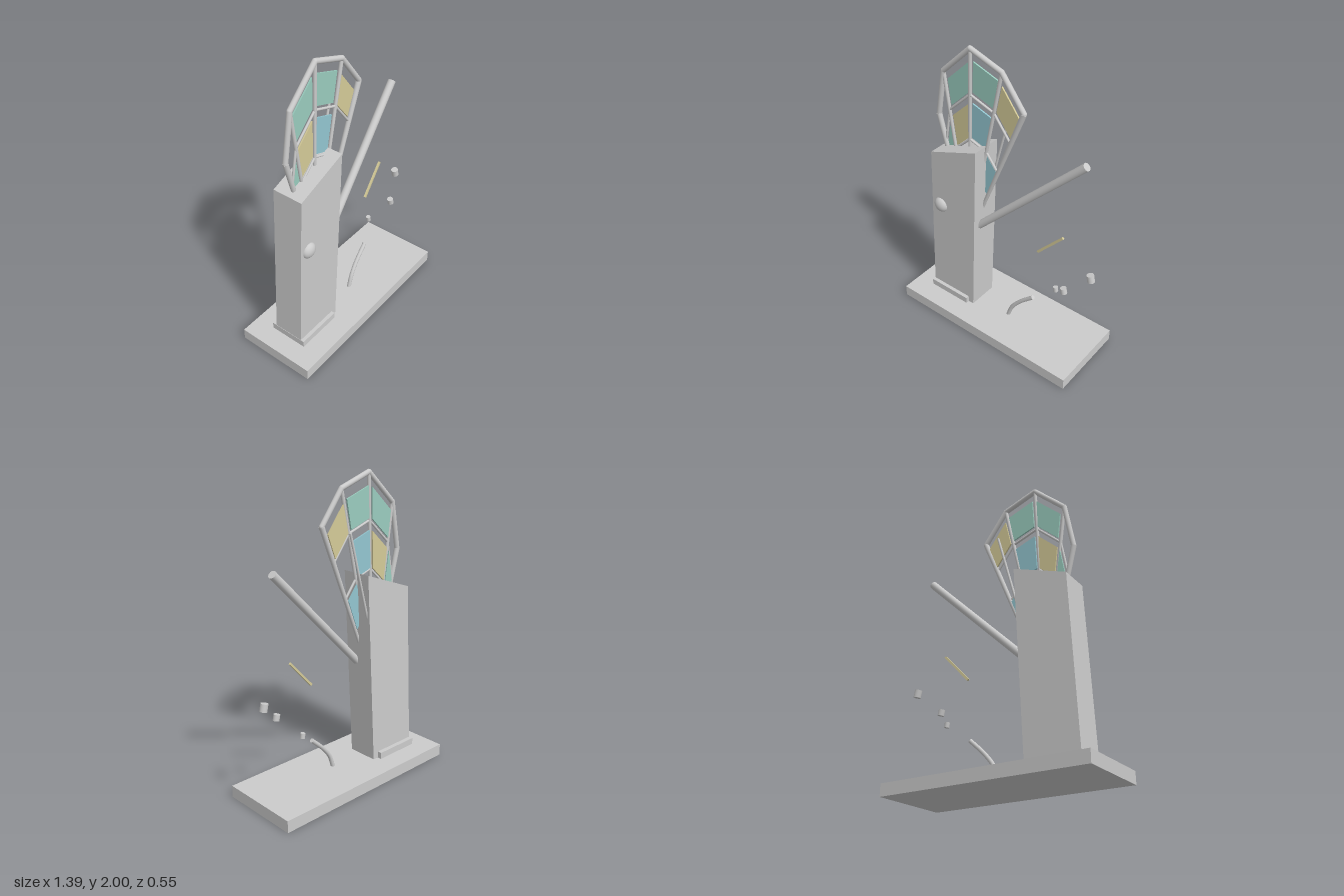
import * as THREE from 'three';

const V = (x, y, z) => new THREE.Vector3(x, y, z);
const material = (color) => new THREE.MeshStandardMaterial({ color });
const grey = material(0xcccccc);
const green = material(0x9accbe);
const yellow = material(0xd4ca98);
const blue = material(0x93c6d0);

export function createModel() {
  const model = new THREE.Group();

  const add = (name, geometry, mat = grey, parent = model) => {
    const mesh = new THREE.Mesh(geometry, mat);
    mesh.name = name;
    parent.add(mesh);
    return mesh;
  };

  // Round bar between two points, radius r0 at a and r1 at b
  const bar = (name, a, b, r0, r1 = r0, parent = model, mat = grey) => {
    const dir = b.clone().sub(a);
    const mesh = add(name, new THREE.CylinderGeometry(r1, r0, dir.length(), 16), mat, parent);
    mesh.position.copy(a).add(b).multiplyScalar(0.5);
    mesh.quaternion.setFromUnitVectors(V(0, 1, 0), dir.normalize());
    return mesh;
  };

  // Ground slab and plinth
  add('base', new THREE.BoxGeometry(1.39, 0.08, 0.55)).position.y = 0.04;
  add('plinth', new THREE.BoxGeometry(0.32, 0.045, 0.265)).position.set(-0.4, 0.1025, -0.002);

  // Leaning tower with a sloped top
  const towerGeometry = new THREE.BoxGeometry(1, 1, 1);
  const p = towerGeometry.attributes.position;
  for (let i = 0; i < p.count; i++) {
    const right = p.getX(i) > 0, top = p.getY(i) > 0, front = p.getZ(i) > 0;
    const x = top ? (right ? -0.135 : -0.505) : (right ? -0.2 : -0.56);
    const y = top ? (right ? 1.37 : 1.235) : 0.08;
    p.setXYZ(i, x, y, (front ? 0.105 : -0.105) + (top ? 0.008 : 0));
  }
  towerGeometry.computeVertexNormals();
  add('tower', towerGeometry);

  // Flattened knob on the front face
  const knob = add('knob', new THREE.SphereGeometry(0.053, 32, 20));
  knob.position.set(-0.45, 0.84, 0.105);
  knob.scale.z = 0.68;

  // Fan: ribs radiating from a hub inside the tower
  const fan = new THREE.Group();
  fan.name = 'fan';
  model.add(fan);
  const fanZ = 0.012;
  const hub = V(-0.29, 0.6, fanZ);
  const tips = [[-0.51, 1.47], [-0.455, 1.78], [-0.24, 1.983], [-0.01, 1.905], [0.15, 1.695]]
    .map(([x, y]) => V(x, y, fanZ));
  const along = (i, f) => hub.clone().lerp(tips[i], f);

  tips.forEach((tip, i) => {
    const edge = i === 0 || i === 4;
    bar('rib', hub, tip, 0.009, edge ? 0.018 : 0.012, fan);
    add('rimJoint', new THREE.SphereGeometry(0.017, 16, 10), grey, fan).position.copy(tip);
    if (i < 4) {
      bar('rim', tip, tips[i + 1], 0.017, 0.017, fan);
      for (const f of [0.56, 0.785]) bar('crossBar', along(i, f), along(i + 1, f), 0.008, 0.008, fan);
    }
  });

  // Coloured panes: sector, inner and outer fraction, colour
  const panes = [
    [1, 0.8, 0.945, green], [2, 0.8, 0.945, green], [3, 0.8, 0.94, yellow],
    [0, 0.57, 0.75, green], [1, 0.57, 0.745, yellow], [2, 0.57, 0.745, blue],
    [3, 0.36, 0.54, blue],
  ];
  for (const [i, f0, f1, mat] of panes) {
    const corner = (f, t) => along(i, f).lerp(along(i + 1, f), t);
    const outline = [corner(f0, 0.08), corner(f0, 0.92), corner(f1, 0.92), corner(f1, 0.08)];
    const shape = new THREE.Shape(outline.map((c) => new THREE.Vector2(c.x, c.y)));
    const geometry = new THREE.ExtrudeGeometry(shape, { depth: 0.01, bevelEnabled: false });
    add('pane', geometry, mat, fan).position.z = -0.003;
  }

  // Thin rod standing behind the fan
  bar('backRod', V(-0.19, 0.96, -0.073), V(-0.003, 1.65, -0.073), 0.008);

  // Long diagonal arm
  bar('arm', V(-0.175, 0.765, 0.043), V(0.56, 1.49, -0.03), 0.026);

  // Curved stalk rising from the base
  const stalkCurve = new THREE.CatmullRomCurve3([
    V(0.053, 0.07, 0.026), V(0.085, 0.16, 0.024), V(0.145, 0.24, 0.018), V(0.25, 0.34, 0.012),
  ]);
  add('stalk', new THREE.TubeGeometry(stalkCurve, 32, 0.014, 12));
  const stalkEnd = stalkCurve.getPoint(1);
  const stalkDir = stalkCurve.getTangent(1);
  bar('stalkCap', stalkEnd.clone().addScaledVector(stalkDir, -0.004), stalkEnd, 0.014);

  // Loose slat
  const slat = add('slat', new THREE.BoxGeometry(0.258, 0.014, 0.014), yellow);
  slat.position.set(0.352, 0.83, -0.012);
  slat.rotation.set(0, 0.07, Math.atan2(0.19, 0.175), 'YZX');

  // Floating pellets: x, y, z, radius, height, tilt
  const pellets = [
    [0.65, 0.71, -0.028, 0.024, 0.05, 0.22],
    [0.505, 0.575, 0.042, 0.021, 0.04, 0.22],
    [0.382, 0.445, -0.055, 0.016, 0.034, 0.15],
  ];
  for (const [x, y, z, r, h, tilt] of pellets) {
    const pellet = add('pellet', new THREE.CylinderGeometry(r, r, h, 20));
    pellet.position.set(x, y, z);
    pellet.rotation.z = tilt;
  }

  return model;
}
